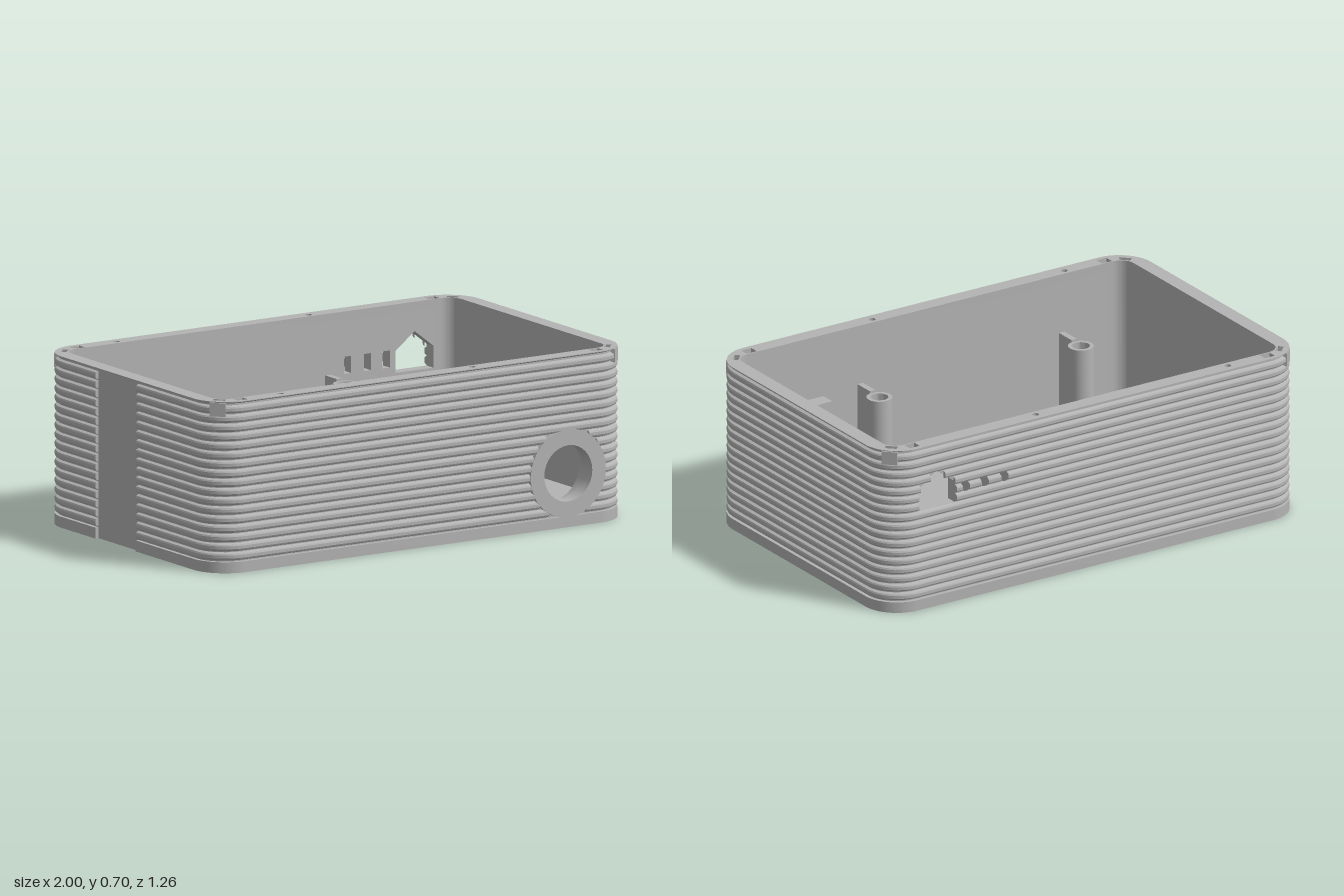
import * as THREE from 'three';
import { toCreasedNormals } from 'three/addons/utils/BufferGeometryUtils.js';

const CX = 0.85, CZ = 0.48, R = 0.15;   // centres and radius of the rounded corners
const G = 0.015;                        // rib depth
const BASE = 0.045, RIM = 0.665, TOP = 0.7;
const REC = [-0.23, 0.06];              // z range of the smooth channel on the -x side
const PORT = { x: 0.695, y: 0.22 };
const SLOTS = [0.43, 0.525, 0.615];

export function createModel() {
  const group = new THREE.Group();
  const gray = new THREE.MeshStandardMaterial({ color: 0xb4b4b4 });
  const add = (name, geo, x = 0, y = 0, z = 0) => {
    const mesh = new THREE.Mesh(geo, gray);
    mesh.name = name;
    mesh.position.set(x, y, z);
    group.add(mesh);
    return mesh;
  };
  const extrude = (shape, depth) => toCreasedNormals(
    new THREE.ExtrudeGeometry(shape, { depth, bevelEnabled: false, curveSegments: 16 }), 0.5);
  // plan shapes use (x, -z) and rise along y
  const rise = (shape, height) => extrude(shape, height).rotateX(-Math.PI / 2);
  const poly = (pts) => new THREE.Shape(pts.map(p => new THREE.Vector2(...p)));
  const rect = (x0, y0, x1, y1) => poly([[x0, y0], [x1, y0], [x1, y1], [x0, y1]]);
  const circle = (x, y, r) => new THREE.Shape().absarc(x, y, r, 0, Math.PI * 2);
  const rounded = (cx, cz, r) => {
    const s = new THREE.Shape();
    s.absarc(cx, -cz, r, -Math.PI / 2, 0);
    s.absarc(cx, cz, r, 0, Math.PI / 2);
    s.absarc(-cx, cz, r, Math.PI / 2, Math.PI);
    return s;
  };
  const finish = (s, cx, cz, r) => { s.absarc(-cx, -cz, r, Math.PI, Math.PI * 1.5); s.closePath(); return s; };

  // bottom slab, notched where the side channel runs through
  const slab = rounded(CX, CZ, R);
  slab.lineTo(-1, -REC[0]);
  slab.lineTo(-1 + G, -REC[0]);
  slab.lineTo(-1 + G, -REC[1]);
  slab.lineTo(-1, -REC[1]);
  finish(slab, CX, CZ, R);
  const buttons = [-0.66, -0.315, 0.025, 0.37];
  for (const x of buttons) slab.holes.push(circle(x, 0.11, 0.06));
  for (const [x, z] of [[0.5, -0.59], [-0.85, -0.59], [0.5, 0.59], [-0.38, 0.59], [0.95, 0.27], [-0.95, 0.32]])
    slab.holes.push(circle(x, -z, 0.014));
  add('bottomSlab', rise(slab, BASE));

  // inner floor with square button pockets that flare at the corners
  const floor = rect(-0.94, -0.57, 0.94, 0.57);
  for (const x of buttons) {
    const pts = [];
    for (let i = 0; i < 4; i++) {
      const c = Math.round(Math.cos(i * Math.PI / 2)), s = Math.round(Math.sin(i * Math.PI / 2));
      for (const [u, v] of [[0.062, 0.045], [0.077, 0.077], [0.045, 0.062]])
        pts.push([x + u * c - v * s, 0.11 + u * s + v * c]);
    }
    floor.holes.push(poly(pts));
  }
  add('innerFloor', rise(floor, 0.03), 0, BASE, 0);

  // end walls with both corners
  const end = new THREE.Shape();
  end.moveTo(CX, -CZ - R + G);
  end.absarc(CX, -CZ, R - G, -Math.PI / 2, 0);
  end.absarc(CX, CZ, R - G, 0, Math.PI / 2);
  end.lineTo(CX, 0.565);
  end.absarc(0.875, 0.505, 0.06, Math.PI / 2, 0, true);
  end.absarc(0.875, -0.505, 0.06, 0, -Math.PI / 2, true);
  end.lineTo(CX, -0.565);
  for (const turn of [0, Math.PI]) add('endWall', rise(end, RIM - BASE), 0, BASE, 0).rotation.y = turn;

  // front wall with the round port, back wall with its cutouts
  const front = rect(-CX, BASE, CX, RIM);
  front.holes.push(circle(PORT.x, PORT.y, 0.115));
  add('frontWall', extrude(front, 0.05), 0, 0, 0.565);
  const back = rect(-CX, BASE, CX, RIM);
  back.holes.push(poly([[0.66, 0.42], [0.84, 0.42], [0.84, 0.51], [0.75, 0.58], [0.66, 0.51]]));
  for (const x of SLOTS) back.holes.push(rect(x - 0.017, 0.445, x + 0.017, 0.515));
  add('backWall', extrude(back, 0.05), 0, 0, -0.615);

  // port flange outside and mounting block inside
  const flange = circle(PORT.x, PORT.y, 0.18);
  flange.holes.push(circle(PORT.x, PORT.y, 0.115));
  add('portFlange', extrude(flange, G + 0.001), 0, 0, 0.615);
  const block = rect(0.51, 0.07, 0.88, 0.435);
  block.holes.push(circle(PORT.x, PORT.y, 0.14));
  add('portBlock', extrude(block, 0.065), 0, 0, 0.5);

  // rim with screw holes, square pockets and diagonal corner notches
  const rim = finish(rounded(CX, CZ, R - G), CX, CZ, R - G);
  rim.holes.push(finish(rounded(0.875, 0.505, 0.06), 0.875, 0.505, 0.06));
  for (const sz of [-1, 1]) {
    for (const x of [-0.66, 0.26]) rim.holes.push(circle(x, sz * 0.592, 0.014));
    for (const sx of [-1, 1]) {
      rim.holes.push(rect(sx * 0.85 - 0.024, sz * 0.59 - 0.02, sx * 0.85 + 0.024, sz * 0.59 + 0.02));
      const notch = [[-0.012, -0.025], [0.012, -0.025], [0.012, 0.025], [-0.012, 0.025]];
      rim.holes.push(poly(notch.map(([u, v]) =>
        [sx * (0.93 + (u - v) * 0.707), sz * (0.56 + (u + v) * 0.707)])));
      const pad = add('cornerCatch', new THREE.BoxGeometry(0.065, 0.055, 0.02), sx * 0.949, 0.667, sz * 0.579);
      pad.rotation.y = Math.atan2(sx, sz);
    }
  }
  add('rim', rise(rim, TOP - RIM), 0, RIM, 0);

  // ribs: a bevelled profile swept along runs of the outline, each point [x, z, nx, nz]
  const arc = (sx, sz, a0) => Array.from({ length: 11 }, (_, i) => {
    const a = a0 + i * Math.PI / 20, nx = Math.cos(a), nz = -Math.sin(a);
    return [sx * CX, sz * CZ, nx, nz];
  });
  const FL = arc(-1, 1, Math.PI), FR = arc(1, 1, Math.PI * 1.5), BR = arc(1, -1, 0), BL = arc(-1, -1, Math.PI / 2);
  const onFront = x => [x, CZ, 0, 1], onBack = x => [x, -CZ, 0, -1], onSide = z => [-CX, z, -1, 0];
  const sweep = (runs, profile, y) => {
    const pos = [];
    const quad = (a, b, c, d) => pos.push(...a, ...b, ...c, ...a, ...c, ...d);
    for (const run of runs) {
      const rings = run.map(([x, z, nx, nz]) => profile.map(([o, dy]) =>
        [x + nx * (R - G + o), y + dy, z + nz * (R - G + o)]));
      for (let i = 0; i + 1 < rings.length; i++)
        for (let j = 0; j + 1 < profile.length; j++)
          quad(rings[i][j], rings[i + 1][j], rings[i + 1][j + 1], rings[i][j + 1]);
      const first = rings[0], last = rings[rings.length - 1];
      for (let j = 1; j + 1 < profile.length; j++) {
        pos.push(...first[0], ...first[j], ...first[j + 1]);
        pos.push(...last[0], ...last[j + 1], ...last[j]);
      }
    }
    const geo = new THREE.BufferGeometry();
    geo.setAttribute('position', new THREE.Float32BufferAttribute(pos, 3));
    return toCreasedNormals(geo, 0.4);
  };
  const ribProfile = [[0, -0.017], [0.012, -0.012], [G, -0.006], [G, 0.006], [0.012, 0.012], [0, 0.017]];
  for (let k = 0; k < 17; k++) {
    const y = 0.066 + k * 0.0375;
    const hw = Math.sqrt(Math.max(0, 0.178 ** 2 - (y - PORT.y) ** 2));
    const gaps = [];
    if (y > 0.42 && y < 0.58) {
      const w = 0.09 * Math.min(1, (0.58 - y) / 0.07);
      gaps.push([0.75 + w, 0.75 - w]);
    }
    if (y > 0.445 && y < 0.515) for (const x of [...SLOTS].reverse()) gaps.push([x + 0.017, x - 0.017]);
    const runs = [[onSide(REC[1]), ...FL, onFront(PORT.x - hw)]];
    let run = [onFront(PORT.x + hw), ...FR, ...BR];
    for (const [from, to] of gaps) {
      runs.push([...run, onBack(from)]);
      run = [onBack(to)];
    }
    runs.push([...run, ...BL, onSide(REC[0])]);
    add('rib', sweep(runs, ribProfile, y));
  }
  // thin lip closing the rib stack at the rim
  add('rimLip', sweep([[onSide(0), ...FL, ...FR, ...BR, ...BL, onSide(0)]], [[0, -0.01], [G, -0.003], [G, 0], [0, 0]], TOP));

  // screw posts tied to the long walls by webs
  const post = circle(0, 0, 0.052);
  post.holes.push(circle(0, 0, 0.036));
  for (const x of [-0.63, 0.335]) for (const s of [-1, 1]) {
    const z = s > 0 ? 0.425 : -0.432;
    add('screwPost', rise(post, 0.38), x, 0.06, z);
    add('postWeb', new THREE.BoxGeometry(0.026, 0.39, 0.09), x, 0.255, z + s * 0.094);
  }
  return group;
}
